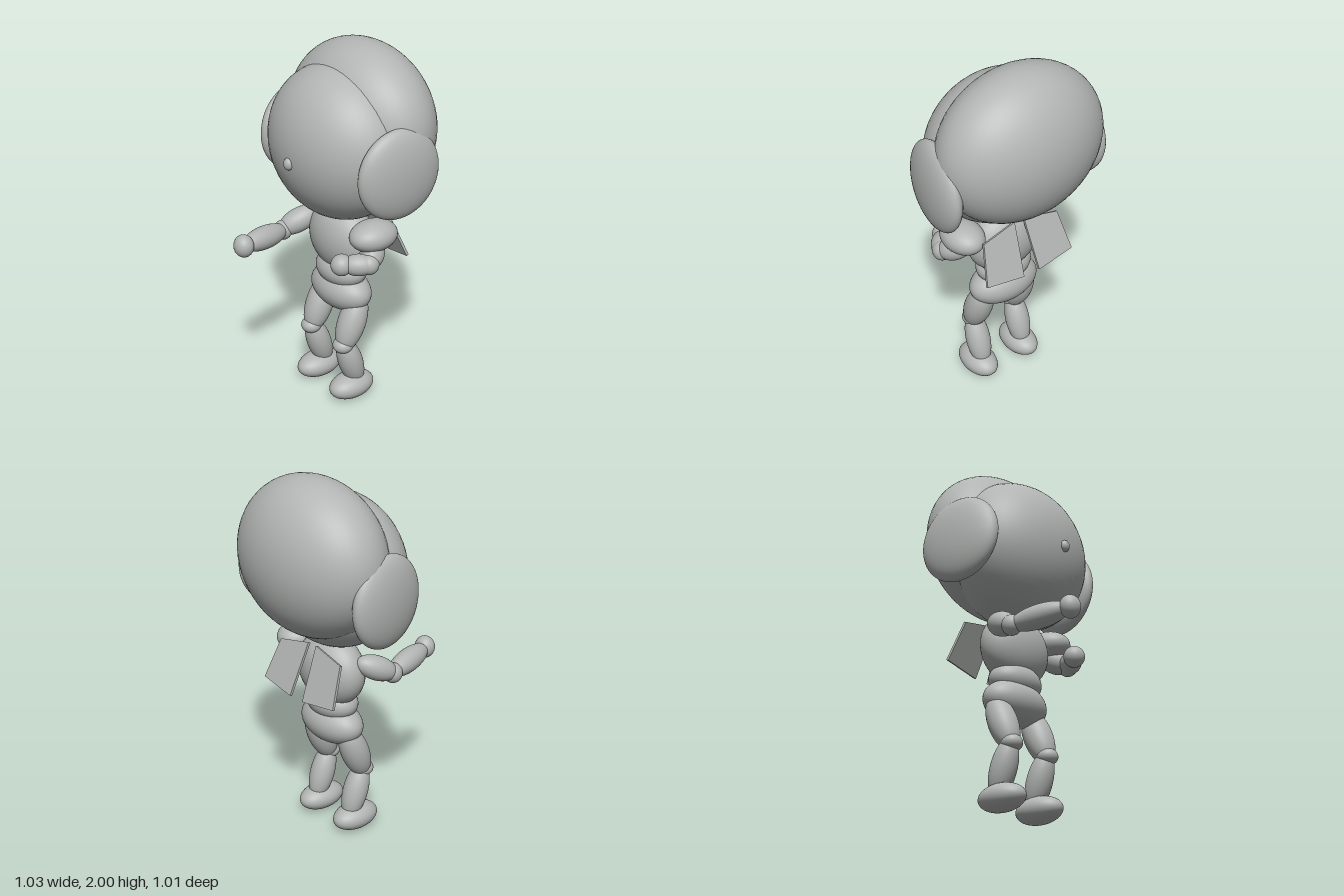
import * as THREE from 'three';

export function createModel() {
  const model = new THREE.Group();
  model.name = 'figure';
  const grey = new THREE.MeshStandardMaterial({ color: 0xb2b5b3 });
  grey.name = 'grey';
  const ball = new THREE.SphereGeometry(1, 48, 32);

  const add = (name, geometry) => {
    const mesh = new THREE.Mesh(geometry, grey);
    mesh.name = name;
    model.add(mesh);
    return mesh;
  };
  // Ellipsoid from a centre and three radii
  const blob = (name, centre, radii) => {
    const mesh = add(name, ball);
    mesh.position.set(...centre);
    mesh.scale.set(...radii);
    return mesh;
  };
  // Ellipsoid stretched between two tips
  const limb = (name, from, to, radius) => {
    const a = new THREE.Vector3(...from), b = new THREE.Vector3(...to);
    const along = b.clone().sub(a);
    const mesh = add(name, ball);
    mesh.position.copy(a).add(b).multiplyScalar(0.5);
    mesh.scale.set(radius, along.length() / 2, radius);
    mesh.quaternion.setFromUnitVectors(new THREE.Vector3(0, 1, 0), along.normalize());
    return mesh;
  };

  // Head
  blob('face', [0, 1.485, -0.045], [0.43, 0.415, 0.33]);
  blob('hair', [0, 1.58, -0.195], [0.475, 0.42, 0.31]);
  blob('nose', [0, 1.44, 0.282], [0.028, 0.033, 0.025]);

  // Torso
  blob('chest', [0, 0.93, -0.07], [0.225, 0.2, 0.14]);
  blob('waist', [0, 0.74, -0.065], [0.165, 0.1, 0.12]);
  blob('hips', [0, 0.62, -0.065], [0.21, 0.12, 0.128]);

  // Back plates: a slanted trapezoid on each side
  const plateShape = (s) => new THREE.Shape([
    [0.03, 1.1], [0.24, 1.06], [0.28, 0.85], [0.05, 0.82],
  ].map(([x, y]) => new THREE.Vector2(s * x, (y - 1.1) * 1.08)));

  for (const s of [-1, 1]) {
    const side = s > 0 ? 'left' : 'right';
    const ear = blob(side + 'Ear', [s * 0.428, 1.43, -0.08], [0.08, 0.243, 0.237]);
    ear.rotation.y = -s * 0.13;

    // Legs
    limb(side + 'Thigh', [s * 0.14, 0.63, -0.09], [s * 0.14, 0.31, 0.04], 0.078);
    blob(side + 'Knee', [s * 0.14, 0.347, 0.036], [0.057, 0.045, 0.057]);
    limb(side + 'Shin', [s * 0.14, 0.38, 0.035], [s * 0.14, 0.07, -0.07], 0.069);
    blob(side + 'Foot', [s * 0.144, 0.072, -0.023], [0.09, 0.072, 0.141]);

    const plate = add(side + 'BackPlate', new THREE.ExtrudeGeometry(plateShape(s), {
      depth: 0.015, bevelEnabled: false,
    }));
    plate.position.set(0, 1.1, -0.2);
    plate.rotation.x = 0.385;
  }

  // Left arm, folded in front of the body
  blob('leftShoulder', [0.265, 1.035, -0.062], [0.108, 0.082, 0.14]);
  limb('leftUpperArm', [0.24, 0.99, -0.1], [0.35, 0.91, 0.04], 0.065);
  blob('leftElbow', [0.335, 0.92, 0.025], [0.053, 0.055, 0.053]);
  limb('leftForearm', [0.36, 0.92, 0.0], [0.25, 0.92, 0.14], 0.058);
  blob('leftHand', [0.25, 0.92, 0.138], [0.058, 0.058, 0.058]);

  // Right arm, reaching forward
  limb('rightUpperArm', [-0.19, 1.02, -0.06], [-0.27, 0.92, 0.15], 0.066);
  blob('rightElbow', [-0.258, 0.925, 0.135], [0.053, 0.055, 0.053]);
  limb('rightForearm', [-0.258, 0.925, 0.12], [-0.18, 0.958, 0.45], 0.063);
  blob('rightHand', [-0.177, 0.96, 0.45], [0.057, 0.062, 0.053]);

  return model;
}
